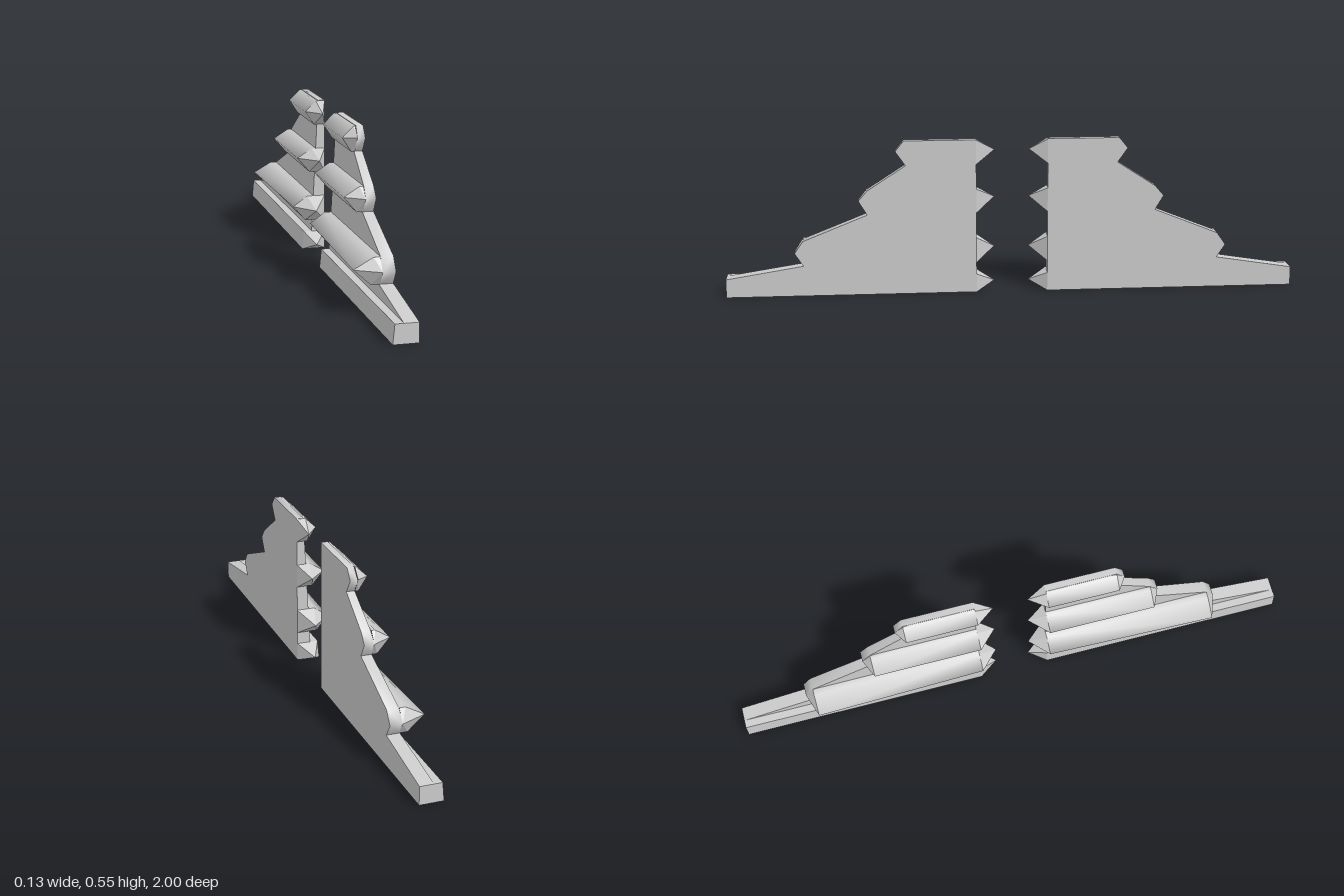
import * as THREE from 'three';
import { mergeGeometries, mergeVertices, toCreasedNormals } from 'three/addons/utils/BufferGeometryUtils.js';

const BACK = 0.065; // flat back plane
const IN = 0.125;   // inner end of the wall
const SPIKE = 0.06; // reach of the inner spikes

// Horizontal ribs. p: cross-section (x, y), counterclockwise from the upper back corner.
// z: outer end, wedge: outer point (x, y, z), apex: inner spike (x, y), tipIn: ridge x at the inner end
const RIBS = [
  { name: 'baseBar', p: [[BACK, 0.065], [-0.012, 0.065], [-0.018, 0], [BACK, 0]],
    z: 1, wedge: [0.02, 0.03, 1], apex: [0.02, 0.03], flat: true },
  { name: 'lowerRib', p: [[BACK, 0.197], [0, 0.197], [-0.066, 0.16], [-0.008, 0.108], [BACK, 0.108]],
    z: 0.73, wedge: [0.022, 0.154, 0.76], apex: [0.018, 0.155], tipIn: -0.052 },
  { name: 'middleRib', p: [[BACK, 0.372], [0.017, 0.372], [-0.036, 0.339], [0.008, 0.287], [BACK, 0.287]],
    z: 0.505, wedge: [0.03, 0.335, 0.535], apex: [0.03, 0.338] },
  { name: 'upperRib', p: [[BACK, 0.546], [0.032, 0.545], [-0.006, 0.508], [0.025, 0.46], [BACK, 0.46]],
    z: 0.375, wedge: [0.038, 0.512, 0.405], apex: [0.042, 0.508] },
];

function fromTriangles(tris) {
  const g = new THREE.BufferGeometry();
  g.setAttribute('position', new THREE.Float32BufferAttribute(tris.flat(2), 3));
  return g;
}

// Rib body with a faceted outer end and a pyramid spike at the inner end
function ribGeometry({ p, z, wedge, apex, tipIn, flat }) {
  const last = p.length - 1;
  const inner = p.map(([x, y], i) => [i === 2 && tipIn !== undefined ? tipIn : x, y, IN]);
  const outer = p.map(([x, y], i) => [(i === 0 || i === last) && !flat ? wedge[0] : x, y, z]);
  const point = [...apex, SPIKE];
  const sides = [], caps = [];
  for (let i = 0; i <= last; i++) {
    const j = (i + 1) % p.length;
    if (i < last) {
      sides.push([inner[i], inner[j], outer[j]], [inner[i], outer[j], outer[i]]);
    }
    if (i < last || flat) caps.push([outer[i], outer[j], wedge]);
    caps.push([inner[j], inner[i], point]);
  }
  let body = fromTriangles(sides);
  if (!flat) body = mergeVertices(body);
  body.computeVertexNormals();
  if (body.index) body = body.toNonIndexed();
  const ends = fromTriangles(caps);
  ends.computeVertexNormals();
  return mergeGeometries([body, ends]);
}

// Stepped wall: side outline extruded across x, thinning towards the top
function wallGeometry() {
  const outline = [
    [IN, 0], [1, 0], [1, 0.065], [0.73, 0.108], [0.76, 0.154], [0.73, 0.197],
    [0.505, 0.287], [0.535, 0.337], [0.505, 0.372], [0.37, 0.46], [0.405, 0.51],
    [0.375, 0.547], [IN, 0.547],
  ];
  const shape = new THREE.Shape(outline.map(([z, y]) => new THREE.Vector2(z, y)));
  let g = new THREE.ExtrudeGeometry(shape, { depth: 0.05, bevelEnabled: false });
  g.rotateY(-Math.PI / 2).translate(BACK, 0, 0);
  const pos = g.attributes.position;
  for (let i = 0; i < pos.count; i++) {
    if (pos.getX(i) < BACK - 0.01) pos.setX(i, 0.013 + 0.05 * pos.getY(i));
  }
  g.deleteAttribute('uv');
  g.deleteAttribute('normal');
  g = toCreasedNormals(g, 1.3);
  return g;
}

// Mirror in z, swapping two corners of each triangle to keep it facing outwards
function mirrorZ(source) {
  const g = source.clone();
  for (const attr of [g.attributes.position, g.attributes.normal]) {
    const a = attr.array;
    for (let i = 2; i < a.length; i += 3) a[i] *= -1;
    for (let t = 0; t < a.length; t += 9) {
      for (let k = 0; k < 3; k++) [a[t + 3 + k], a[t + 6 + k]] = [a[t + 6 + k], a[t + 3 + k]];
    }
  }
  return g;
}

export function createModel() {
  const model = new THREE.Group();
  const material = new THREE.MeshStandardMaterial({ color: 0xcccccc });
  const parts = [['wall', wallGeometry()], ...RIBS.map((r) => [r.name, ribGeometry(r)])];
  for (const side of ['frontHalf', 'backHalf']) {
    const half = new THREE.Group();
    half.name = side;
    for (const [name, geometry] of parts) {
      const mesh = new THREE.Mesh(side === 'frontHalf' ? geometry : mirrorZ(geometry), material);
      mesh.name = name;
      half.add(mesh);
    }
    model.add(half);
  }
  return model;
}
